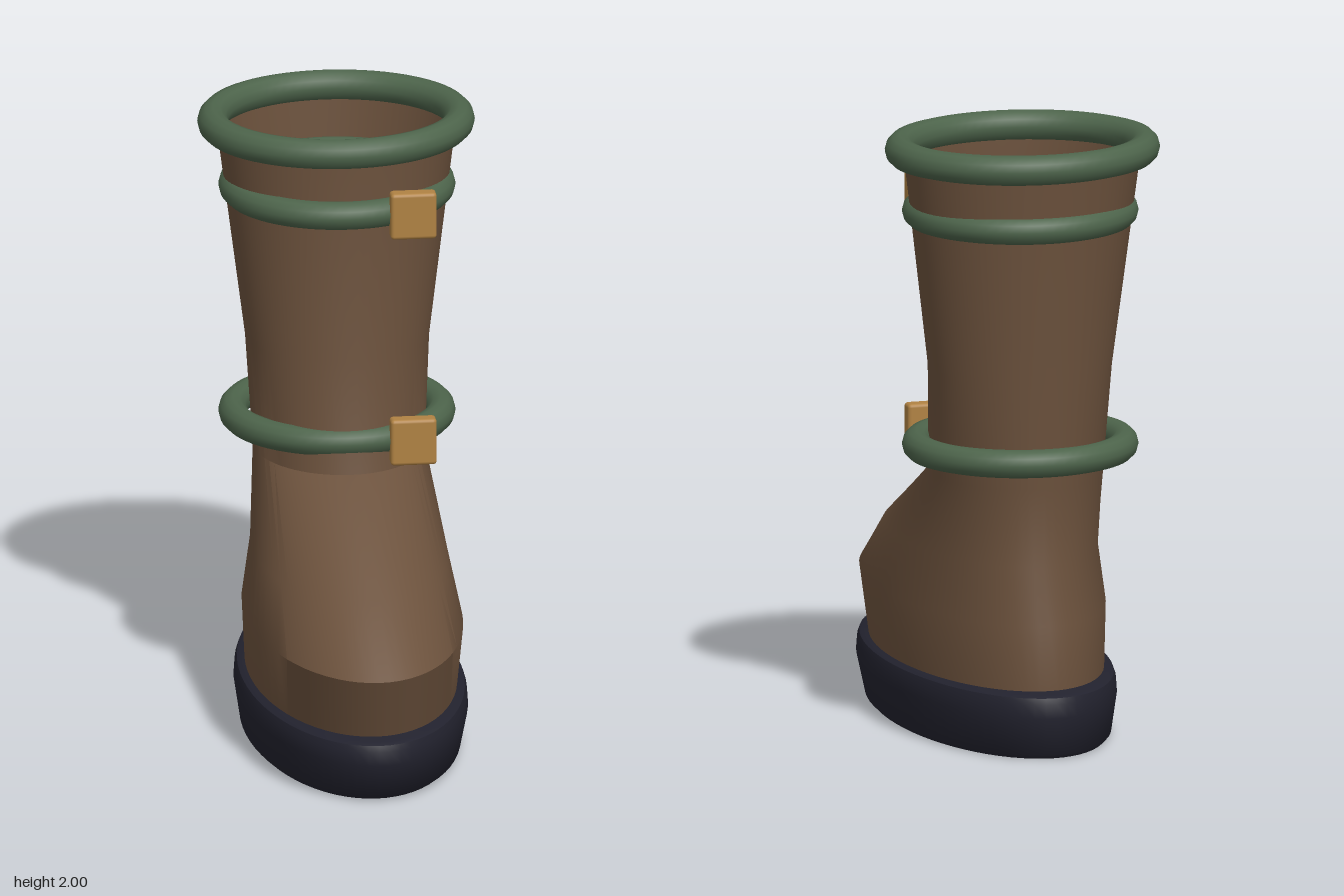
import * as THREE from 'three';
import { toCreasedNormals } from 'three/addons/utils/BufferGeometryUtils.js';
import { RoundedBoxGeometry } from 'three/addons/geometries/RoundedBoxGeometry.js';

// Lofts elliptical sections [y, halfWidth, zFront, zBack] from bottom to top.
function loft(sections, capped, crease, sides = 64) {
  const pos = [], idx = [];
  for (const [y, w, zf, zb] of sections) {
    for (let j = 0; j < sides; j++) {
      const t = (j / sides) * Math.PI * 2;
      pos.push(w * Math.sin(t), y, (zf + zb) / 2 + ((zf - zb) / 2) * Math.cos(t));
    }
  }
  const last = sections.length - 1;
  for (let i = 0; i < last; i++) {
    for (let j = 0; j < sides; j++) {
      const k = (j + 1) % sides;
      const a = i * sides + j, b = i * sides + k;
      idx.push(a, b, a + sides, b, b + sides, a + sides);
    }
  }
  if (capped) {
    for (const i of [0, last]) {
      const [y, , zf, zb] = sections[i];
      const c = pos.length / 3;
      pos.push(0, y, (zf + zb) / 2);
      for (let j = 0; j < sides; j++) {
        const a = i * sides + j, b = i * sides + ((j + 1) % sides);
        if (i === 0) idx.push(c, b, a);
        else idx.push(c, a, b);
      }
    }
  }
  const geo = new THREE.BufferGeometry();
  geo.setAttribute('position', new THREE.Float32BufferAttribute(pos, 3));
  geo.setIndex(idx);
  return toCreasedNormals(geo, crease);
}

export function createModel() {
  const leather = new THREE.MeshStandardMaterial({ color: 0x6b513c, side: THREE.DoubleSide });
  const rubber = new THREE.MeshStandardMaterial({ color: 0x22222e });
  const trim = new THREE.MeshStandardMaterial({ color: 0x4d644b });
  const brass = new THREE.MeshStandardMaterial({ color: 0xb08243 });
  leather.name = 'brown leather';
  rubber.name = 'dark rubber';
  trim.name = 'green trim';
  brass.name = 'brass';

  const boot = new THREE.Group();
  boot.name = 'boot';
  const add = (name, geo, mat) => {
    const mesh = new THREE.Mesh(geo, mat);
    mesh.name = name;
    boot.add(mesh);
    return mesh;
  };

  // Foot and shaft, open at the top
  add('upper', loft([
    [0.19, 0.335, 0.70, -0.70],
    [0.425, 0.35, 0.795, -0.70],
    [0.61, 0.315, 0.545, -0.635],
    [0.87, 0.278, 0.005, -0.65],
    [1.23, 0.298, -0.07, -0.667],
    [1.95, 0.39, -0.055, -0.735],
  ], false, 0.6), leather);

  // Thick sole with a bevelled rim
  add('sole', loft([
    [0, 0.335, 0.705, -0.745],
    [0.015, 0.35, 0.73, -0.762],
    [0.14, 0.37, 0.795, -0.79],
    [0.185, 0.367, 0.79, -0.785],
    [0.205, 0.36, 0.782, -0.777],
    [0.213, 0.345, 0.765, -0.76],
  ], true, 0.7), rubber);

  // Horizontal ring, slightly narrower front to back
  const ring = (name, y, z, radius, tube, depth) => {
    const geo = new THREE.TorusGeometry(radius, tube, 12, 64);
    geo.rotateX(Math.PI / 2);
    geo.scale(1, 1, depth);
    add(name, geo, trim).position.set(0, y, z);
  };
  ring('cuff', 1.95, -0.397, 0.4, 0.05, 0.88);

  // Straps, each with a buckle on the front
  for (const [name, y] of [['lower', 0.968], ['upper', 1.74]]) {
    ring(name + 'Strap', y, -0.373, 0.337, 0.047, 0.975);
    add(name + 'Buckle', new RoundedBoxGeometry(0.15, 0.156, 0.055, 2, 0.012), brass)
      .position.set(0.207, y, -0.03);
  }
  return boot;
}
